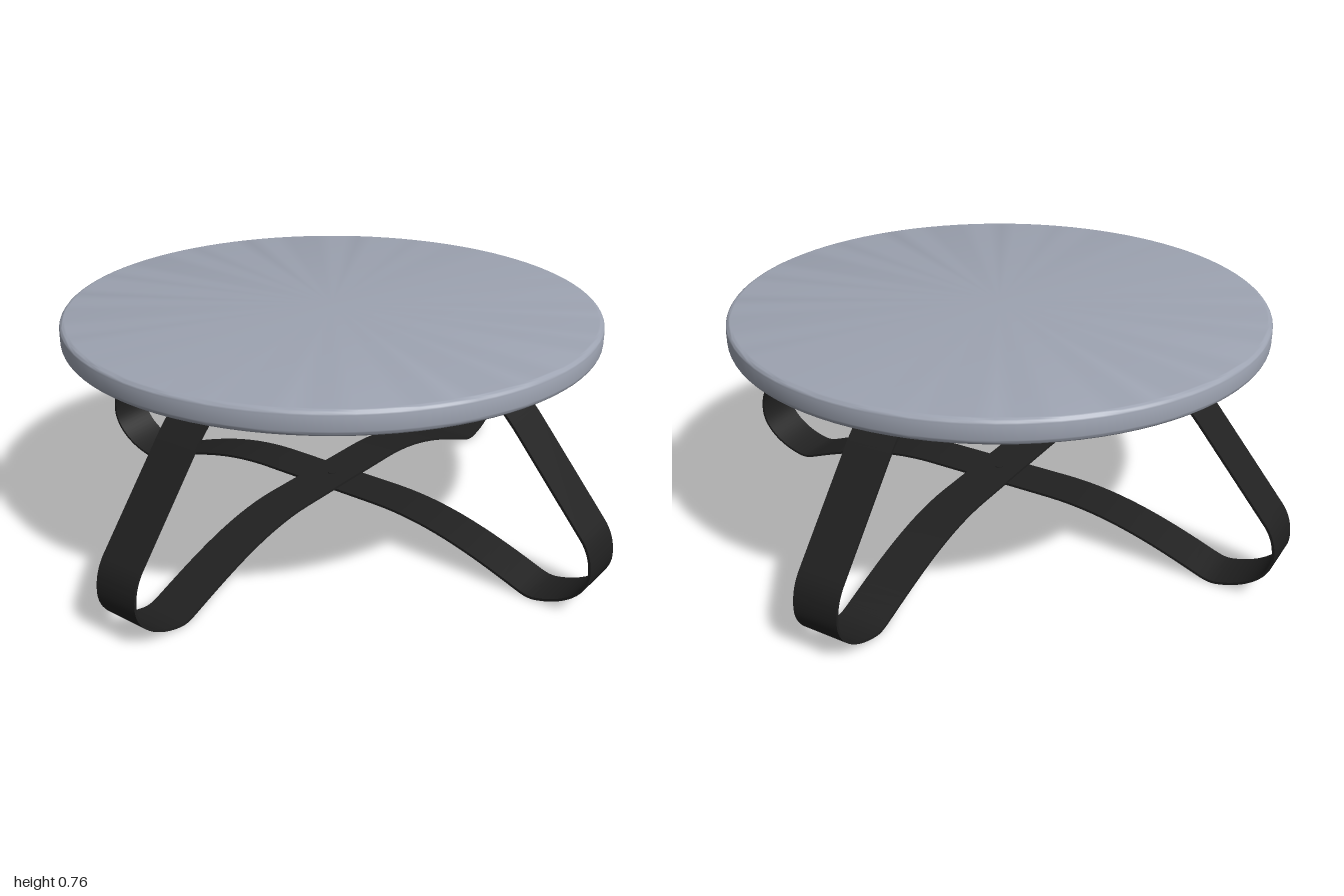
import * as THREE from 'three';
import { toCreasedNormals } from 'three/addons/utils/BufferGeometryUtils.js';

const V = (x, y) => new THREE.Vector2(x, y);
const STRAP_WIDTH = 0.152;
const STRAP_THICKNESS = 0.008;

// Half of the bent strap's centreline, from the crossing out to the mounting tab
function halfCentreline(crossY) {
  const path = new THREE.CurvePath();
  const cubic = (a, b, c, d) => path.add(new THREE.CubicBezierCurve(V(...a), V(...b), V(...c), V(...d)));
  const line = (a, b) => path.add(new THREE.LineCurve(V(...a), V(...b)));
  line([0, crossY], [0.23, crossY]);
  cubic([0.23, crossY], [0.43, crossY], [0.6, 0.08], [0.75, 0.022]);
  cubic([0.75, 0.022], [0.79, 0.006], [0.805, 0.002], [0.83, 0.006]);
  cubic([0.83, 0.006], [0.93, 0.025], [0.996, 0.085], [0.996, 0.15]);
  cubic([0.996, 0.15], [0.996, 0.2], [0.98, 0.235], [0.955, 0.263]);
  line([0.955, 0.263], [0.735, 0.527]);
  cubic([0.735, 0.527], [0.695, 0.575], [0.655, 0.612], [0.6, 0.657]);
  cubic([0.6, 0.657], [0.585, 0.671], [0.578, 0.679], [0.56, 0.679]);
  line([0.56, 0.679], [0.29, 0.679]);
  const points = [];
  path.curves.forEach((curve) => {
    const n = curve.isLineCurve ? 1 : 14;
    for (let i = 0; i < n; i++) points.push(curve.getPoint(i / n));
  });
  points.push(V(0.29, 0.679));
  return points;
}

// Thicken the mirrored centreline and extrude it to the strap's width
function strapGeometry(crossY) {
  const half = halfCentreline(crossY);
  const mirrored = half.slice(1).reverse().map((p) => V(-p.x, p.y));
  const centre = [...mirrored, ...half];
  const offset = (side) => centre.map((p, i) => {
    const a = centre[Math.max(i - 1, 0)];
    const b = centre[Math.min(i + 1, centre.length - 1)];
    const t = b.clone().sub(a).normalize();
    return V(p.x - t.y * side, p.y + t.x * side);
  });
  const outer = offset(-STRAP_THICKNESS / 2);
  const inner = offset(STRAP_THICKNESS / 2);
  const shape = new THREE.Shape([...outer, ...inner.reverse()]);
  const geometry = new THREE.ExtrudeGeometry(shape, { depth: STRAP_WIDTH, bevelEnabled: false });
  geometry.translate(0, 0, -STRAP_WIDTH / 2);
  return toCreasedNormals(geometry, 0.6);
}

// Round top with softened rims
function topGeometry() {
  const radius = 0.861, low = 0.683, high = 0.759, round = 0.018;
  const profile = [V(0, low)];
  const corner = (y, start) => {
    for (let i = 0; i <= 6; i++) {
      const a = start + (i / 6) * Math.PI / 2;
      profile.push(V(radius - round + Math.cos(a) * round, y + Math.sin(a) * round));
    }
  };
  corner(low + round, -Math.PI / 2);
  corner(high - round, 0);
  profile.push(V(0, high));
  return toCreasedNormals(new THREE.LatheGeometry(profile, 96), 0.6);
}

export function createModel() {
  const model = new THREE.Group();
  model.name = 'roundLowTable';
  const grey = new THREE.MeshStandardMaterial({ color: 0x9da3b1 });
  grey.name = 'blue grey top';
  const black = new THREE.MeshStandardMaterial({ color: 0x202020 });
  black.name = 'black steel';
  const add = (parent, name, geometry, material) => {
    const mesh = new THREE.Mesh(geometry, material);
    mesh.name = name;
    parent.add(mesh);
    return mesh;
  };

  add(model, 'tableTop', topGeometry(), grey);

  // Two crossing straps, one lying just beneath the other
  const boltGeometry = new THREE.CylinderGeometry(0.013, 0.009, 0.012, 16);
  [['sideStrap', 0.147, 0], ['frontBackStrap', 0.139, Math.PI / 2]].forEach(([name, crossY, turn]) => {
    const frame = new THREE.Group();
    frame.name = name + 'Frame';
    frame.rotation.y = turn;
    add(frame, name, strapGeometry(crossY), black);
    // Bolts under the mounting tabs
    for (const x of [-0.46, -0.38, 0.38, 0.46]) {
      add(frame, 'tabBolt', boltGeometry, black).position.set(x, 0.67, 0);
    }
    model.add(frame);
  });

  // Screw joining the straps at the crossing
  add(model, 'crossingScrew', new THREE.CylinderGeometry(0.013, 0.013, 0.02, 16), black).position.y = 0.143;
  return model;
}
